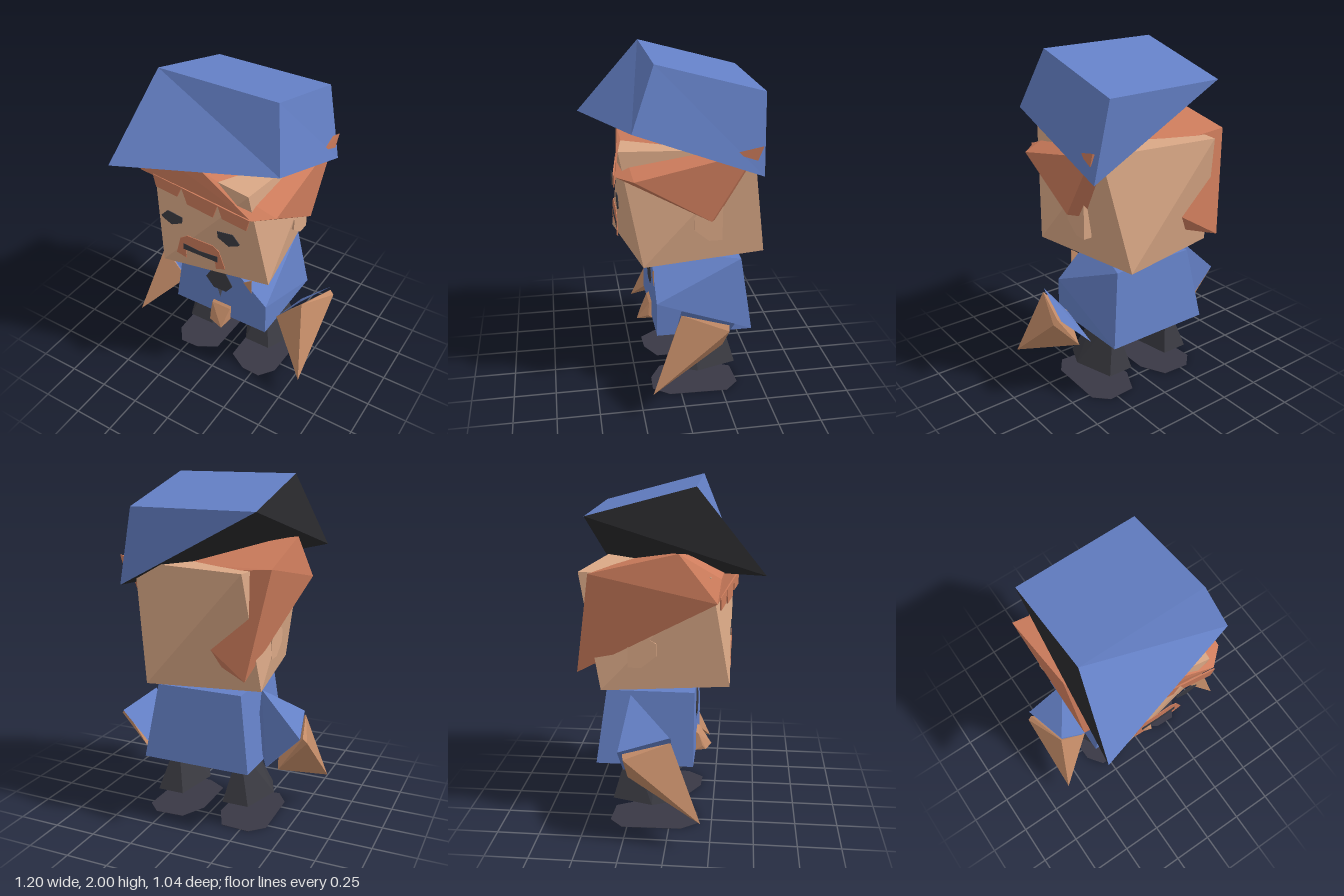
import * as THREE from 'three';
import { ConvexGeometry } from 'three/addons/geometries/ConvexGeometry.js';

const paint = (name, color) => {
  const m = new THREE.MeshStandardMaterial({ color });
  m.name = name;
  return m;
};

export function createModel() {
  const root = new THREE.Group();
  root.name = 'figure';

  const blue = paint('cloth blue', 0x6480c6);
  blue.side = THREE.DoubleSide;
  const black = paint('cap black', 0x2a2a2d);
  const charcoal = paint('boot charcoal', 0x3b3b42);
  const soleDark = paint('sole dark', 0x393845);
  const skin = paint('face skin', 0xdaa886);
  const handSkin = paint('hand skin', 0xc48c68);
  const hair = paint('hair ginger', 0xcd7c5c);

  const add = (name, geometry, material) => {
    const mesh = new THREE.Mesh(geometry, material);
    mesh.name = name;
    root.add(mesh);
    return mesh;
  };

  // Faceted solid wrapped around a few corner points
  const solid = (name, corners, material, side = 1) =>
    add(name, new ConvexGeometry(corners.map(([x, y, z]) => new THREE.Vector3(x * side, y, z))), material);

  // Thin flat plate from an outline in x and y
  const plate = (name, outline, z, material, side = 1, depth = 0.004) => {
    const shape = new THREE.Shape(outline.map(([x, y]) => new THREE.Vector2(x * side, y)));
    const mesh = add(name, new THREE.ExtrudeGeometry(shape, { depth, bevelEnabled: false }), material);
    mesh.position.z = z;
    return mesh;
  };

  // Faces given as corner loops, counter-clockwise from outside
  const faces = (name, loops, material) => {
    const pos = [];
    for (const loop of loops)
      for (let i = 1; i < loop.length - 1; i++) pos.push(...loop[0], ...loop[i], ...loop[i + 1]);
    const g = new THREE.BufferGeometry();
    g.setAttribute('position', new THREE.Float32BufferAttribute(pos, 3));
    g.computeVertexNormals();
    return add(name, g, material);
  };

  // Head: a box whose bottom and top are turned in opposite directions
  solid('head', [
    [-0.26, 0.87, 0.34], [0.38, 0.87, 0.22], [0.26, 0.87, -0.5], [-0.38, 0.87, -0.38],
    [0.31, 1.53, 0.34], [-0.38, 1.53, 0.23], [-0.31, 1.53, -0.5], [0.38, 1.53, -0.39],
  ], skin);

  // Hair: slanted mass with points by the right cheek and the left nape
  solid('hair', [
    [-0.445, 1.4, 0.27], [0.34, 1.4, 0.36], [0.44, 1.4, 0.27], [0.44, 1.15, -0.15],
    [0.44, 1.5, -0.2], [0.44, 1.45, -0.33], [-0.34, 0.96, -0.52], [-0.445, 1.55, -0.42],
    [-0.42, 1.66, 0.06], [-0.335, 1.51, 0.285], [-0.18, 1.545, 0.305], [0, 1.57, 0.315],
  ], hair);
  solid('hairTuft', [
    [0.43, 1.53, -0.26], [0.455, 1.57, -0.42], [0.45, 1.49, -0.39], [0.38, 1.53, -0.36],
  ], hair);
  const fringe = plate('fringe', [
    [-0.35, 1.41], [-0.33, 1.335], [-0.17, 1.335], [-0.135, 1.41], [-0.095, 1.315], [0.09, 1.315],
    [0.125, 1.41], [0.155, 1.335], [0.32, 1.335], [0.34, 1.41],
  ], 0.322, hair, 1, 0.008);
  fringe.rotation.y = -0.13;

  // Cap: sloping crown, three lower corners
  const FL = [-0.365, 2, 0.15], FR = [0.365, 2, 0.15];
  const BL = [-0.365, 1.84, -0.445], BR = [0.365, 1.84, -0.445];
  const tip = [-0.455, 1.56, 0.52], lowR = [0.455, 1.665, 0.28], lowBack = [0.455, 1.4, -0.43];
  faces('cap', [
    [FL, FR, BR, BL],
    [FL, tip, lowR], [FL, lowR, FR],
    [FR, lowR, lowBack, BR],
    [BR, lowBack, BL],
  ], blue);
  faces('capLining', [[FL, BL, tip], [tip, BL, lowBack], [tip, lowBack, lowR]], black);

  // Face details
  plate('moustache', [
    [-0.165, 0.965], [-0.135, 1.08], [-0.085, 1.115], [0.085, 1.115], [0.125, 1.09], [0.165, 0.98],
    [0.105, 0.955], [0.098, 1.015], [-0.1, 1.015], [-0.098, 0.95],
  ], 0.338, hair);
  plate('mouth', [
    [-0.115, 1.05], [0, 1.04], [0.115, 1.05], [0.115, 1.01], [-0.115, 1.01],
  ], 0.34, charcoal);

  // Jacket: a shell open below, with a V neck cut into its front and top
  const topFL = [-0.26, 0.825, 0.14], topBL = [-0.255, 0.825, -0.37], topBR = [0.26, 0.825, -0.37];
  const neckL = [-0.08, 0.825, 0.14], neckR = [0.07, 0.825, 0.14];
  const neckV = [0, 0.53, 0.14], nape = [0, 0.825, -0.26], chest = [0.325, 0.6, 0.14];
  const hemFL = [-0.33, 0.39, 0.14], hemFR = [0.325, 0.39, 0.14];
  const hemBL = [-0.325, 0.39, -0.43], hemBR = [0.325, 0.39, -0.43];
  faces('jacket', [
    [neckV, neckL, topFL, hemFL], [neckV, hemFL, hemFR], [neckV, hemFR, chest, neckR],
    [neckR, chest, topBR], [chest, hemFR, hemBR], [chest, hemBR, topBR],
    [topBR, hemBR, hemBL, topBL], [topBL, hemBL, hemFL, topFL],
    [topFL, neckL, nape], [topFL, nape, topBL], [topBL, nape, topBR], [nape, neckR, topBR],
  ], blue);
  plate('necktie', [
    [-0.02, 0.8], [0.02, 0.775], [0.09, 0.655], [0.045, 0.595], [-0.045, 0.595], [-0.1, 0.66],
  ], 0.14, charcoal);
  plate('badge', [[0.17, 0.73], [0.225, 0.77], [0.225, 0.67]], 0.141, handSkin);
  solid('buckle', [
    [-0.05, 0.49, 0.135], [0.08, 0.49, 0.135], [-0.05, 0.475, 0.155], [0.08, 0.475, 0.155],
    [-0.05, 0.395, 0.18], [0.08, 0.39, 0.16], [-0.04, 0.37, 0.2], [0.06, 0.365, 0.23],
    [-0.06, 0.37, 0.135], [0.07, 0.365, 0.135],
  ], handSkin);

  // Paired parts
  for (const side of [1, -1]) {
    const label = side > 0 ? 'left' : 'right';

    plate(label + 'Eye', [
      [0.115, 1.23], [0.215, 1.245], [0.26, 1.195], [0.245, 1.18], [0.19, 1.155], [0.12, 1.19],
    ], 0.338, charcoal, side);

    const rim = [
      [1.25, -0.225], [1.21, -0.15], [1.15, -0.15], [1.15, -0.065],
      [1.08, -0.065], [1.01, -0.15], [1.01, -0.225],
    ];
    solid(label + 'Ear', rim.flatMap(([y, z]) => [[0.33, y, z], [0.38, y, z]]), skin, side);

    // Flat cuff behind each hand
    faces(label + 'Cuff', [[
      [0.5, 0.645, 0.025], [0.57, 0.58, -0.265], [0.37, 0.375, -0.265], [0.335, 0.43, 0.025],
    ].map(([x, y, z]) => [x * side, y, z])], blue);
    solid(label + 'Hand', [
      [0.6, 0.175, 0.2], [0.505, 0.62, 0.025], [0.34, 0.44, 0.025],
      [0.6, 0.55, -0.23], [0.575, 0.575, -0.235], [0.43, 0.36, -0.23],
    ], handSkin, side);

    // Leg tapering to a short ridge, above a flat sole
    solid(label + 'Leg', [
      [0.08, 0.145, -0.06], [0.13, 0.145, 0.04], [0.3, 0.145, 0.04], [0.36, 0.145, -0.1],
      [0.29, 0.145, -0.34], [0.13, 0.145, -0.34], [0.2, 0.46, -0.09], [0.2, 0.46, -0.25],
    ], charcoal, side);
    const sole = plate(label + 'Sole', [
      [0.06, 0.09], [0.18, 0.16], [0.3, 0.165], [0.37, 0.07],
      [0.38, -0.28], [0.3, -0.36], [0.13, -0.35], [0.055, -0.2],
    ], 0, soleDark, side, 0.002);
    sole.rotation.x = Math.PI / 2;
    sole.position.y = 0.002;
  }

  // The right sleeve rises to a raised shoulder point
  solid('rightSleeve', [
    [-0.32, 0.825, -0.22], [-0.25, 0.5, -0.1], [-0.498, 0.645, 0.02], [-0.568, 0.58, -0.263],
    [-0.368, 0.378, -0.263], [-0.333, 0.432, 0.02],
  ], blue);

  return root;
}
